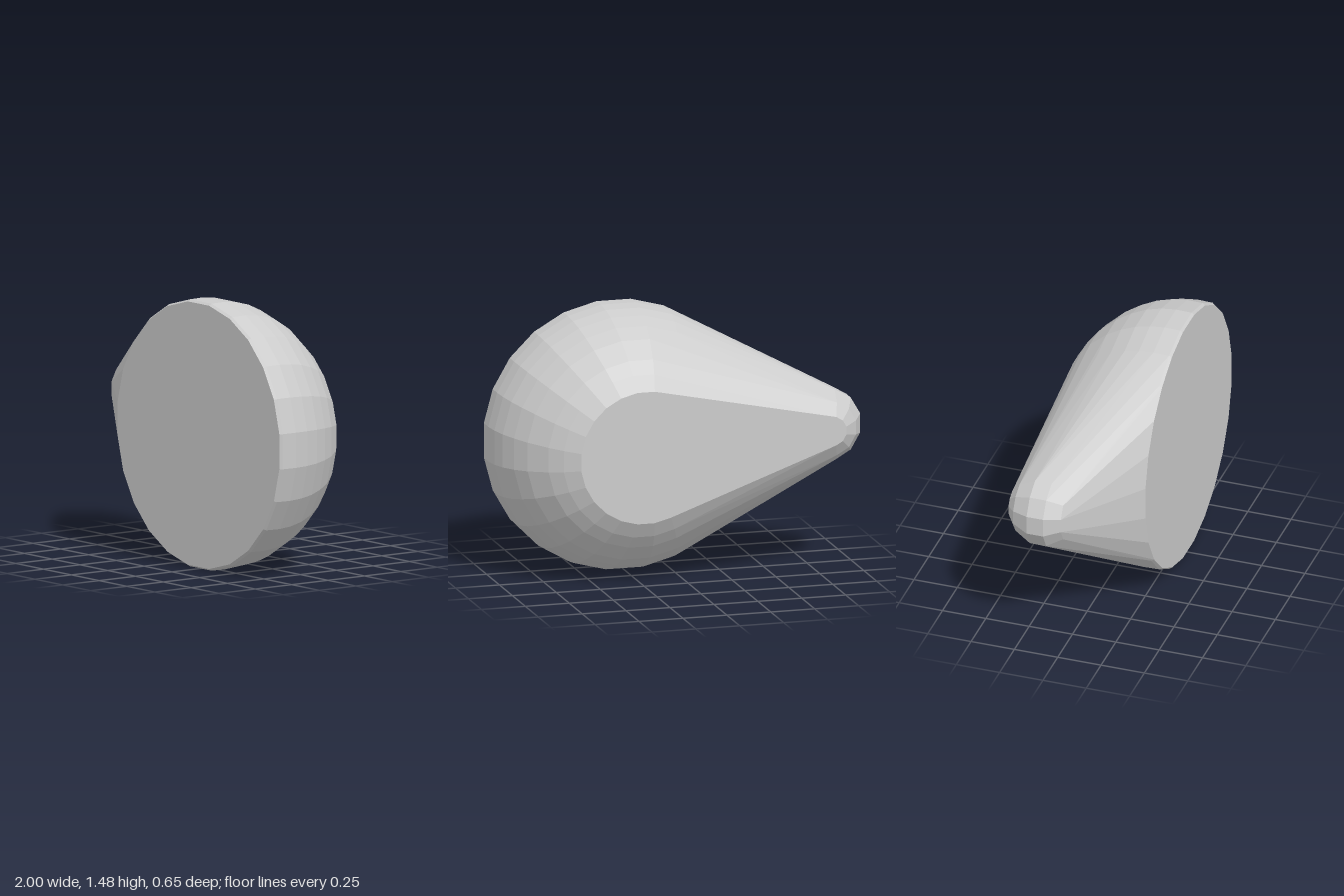
import * as THREE from 'three';
import { ConvexGeometry } from 'three/addons/geometries/ConvexGeometry.js';

// Points of stacked regular polygons facing z; each row is [z, inradius]
function ringPoints(cx, cy, sides, rows) {
  const points = [];
  for (const [z, inradius] of rows) {
    const r = inradius / Math.cos(Math.PI / sides);
    for (let i = 0; i < sides; i++) {
      const a = ((i + 0.5) / sides) * Math.PI * 2;
      points.push(new THREE.Vector3(cx + r * Math.cos(a), cy + r * Math.sin(a), z));
    }
  }
  return points;
}

export function createModel() {
  const group = new THREE.Group();
  group.name = 'taperedDome';

  // Large dome with a flat front, a small bevel and a cut-off back
  const dome = ringPoints(0.26, 0.74, 24, [
    [0.325, 0.728], [0.31, 0.738], [0.22, 0.74], [0.135, 0.73], [0.05, 0.707],
    [-0.035, 0.668], [-0.12, 0.615], [-0.22, 0.525], [-0.275, 0.455], [-0.325, 0.37],
  ]);

  // Small rounded tip, cut by the same back plane
  const tip = ringPoints(-0.8, 0.815, 12, [
    [-0.325, 0.08], [-0.275, 0.148], [-0.18, 0.2], [-0.085, 0.2], [0.0, 0.148], [0.05, 0.06],
  ]);

  // Faceted skin stretched over both ends
  const body = new THREE.Mesh(
    new ConvexGeometry([...dome, ...tip]),
    new THREE.MeshStandardMaterial({ color: 0xcccccc, flatShading: true })
  );
  body.name = 'body';
  group.add(body);
  return group;
}
